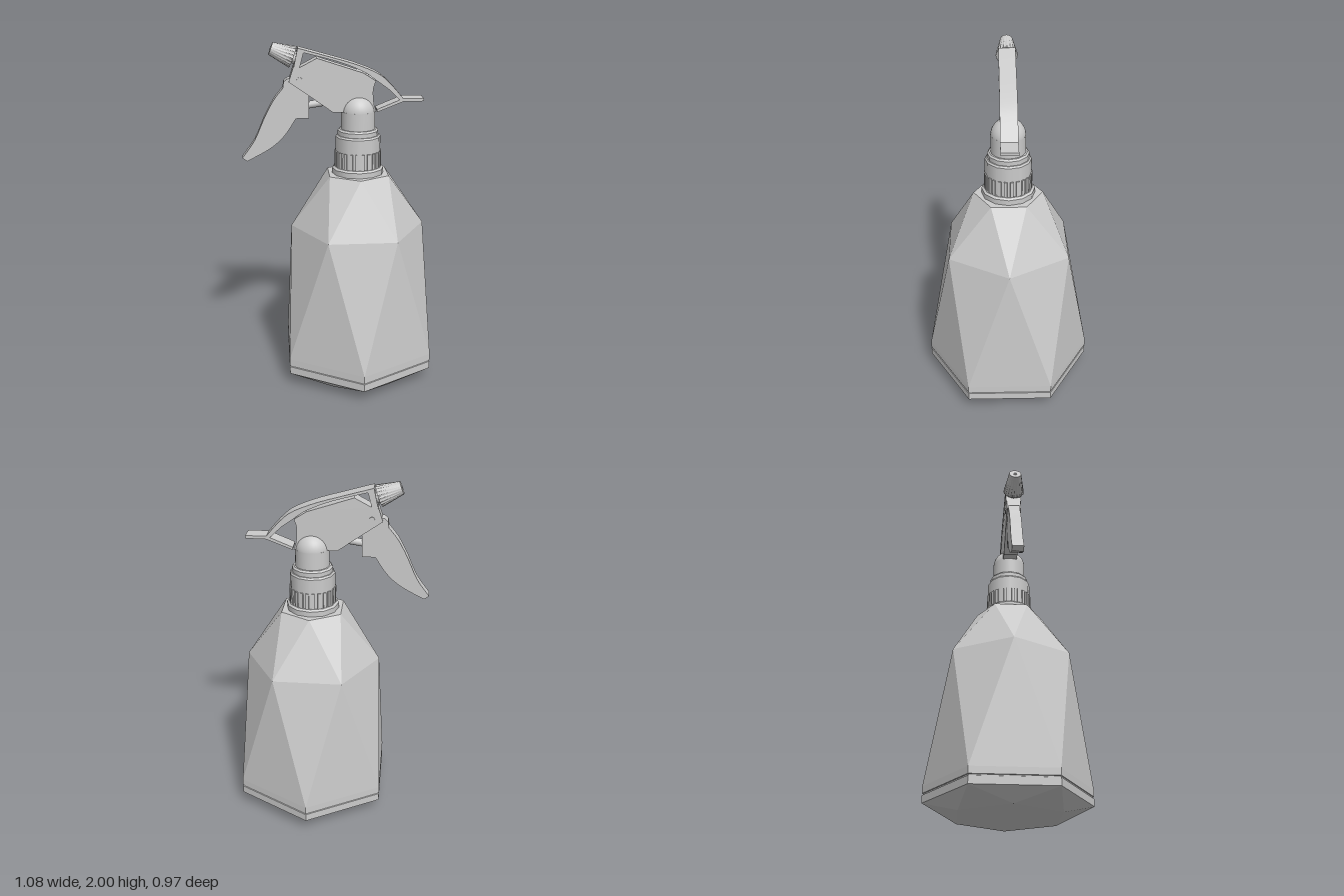
import * as THREE from 'three';
import { toCreasedNormals } from 'three/addons/utils/BufferGeometryUtils.js';

const AXIS = 0.12; // the bottle sits off-centre below the spray head
const grey = new THREE.MeshStandardMaterial({ color: 0xcccccc });
const faceted = new THREE.MeshStandardMaterial({ color: 0xcccccc, flatShading: true });

function add(parent, name, geometry, x = 0, y = 0, z = 0, material = grey) {
  const mesh = new THREE.Mesh(geometry, material);
  mesh.name = name;
  mesh.position.set(x, y, z);
  parent.add(mesh);
  return mesh;
}

// Side outline extruded symmetrically about z = 0
function plate(points, halfWidth) {
  const shape = new THREE.Shape(points.map(([x, y]) => new THREE.Vector2(x, y)));
  const geometry = new THREE.ExtrudeGeometry(shape, { depth: 2 * halfWidth, bevelEnabled: false });
  geometry.translate(0, 0, -halfWidth);
  return toCreasedNormals(geometry, 0.5);
}

// Smooth run of points through a few guide points
function curve(points, count = 16) {
  return new THREE.SplineCurve(points.map(([x, y]) => new THREE.Vector2(x, y)))
    .getPoints(count).map(p => [p.x, p.y]);
}

// Hexagonal rings [height, radius, turn in degrees] joined by triangles
function facetedHull(rings) {
  const corner = (ring, i) => {
    const a = THREE.MathUtils.degToRad(ring[2] + 60 * i);
    return [ring[1] * Math.cos(a), ring[0], ring[1] * Math.sin(a)];
  };
  const out = [];
  const low = rings[0], high = rings[rings.length - 1];
  for (let i = 0; i < 6; i++) {
    for (let k = 0; k + 1 < rings.length; k++) {
      const a = rings[k], b = rings[k + 1];
      out.push(...corner(a, i + 1), ...corner(a, i), ...corner(b, i));
      out.push(...corner(b, i), ...corner(b, i + 1), ...corner(a, i + 1));
    }
    out.push(0, low[0], 0, ...corner(low, i), ...corner(low, i + 1));
    out.push(0, high[0], 0, ...corner(high, i + 1), ...corner(high, i));
  }
  const geometry = new THREE.BufferGeometry();
  geometry.setAttribute('position', new THREE.Float32BufferAttribute(out, 3));
  geometry.computeVertexNormals();
  return geometry;
}

export function createModel() {
  const model = new THREE.Group();
  model.name = 'sprayBottle';

  // Bottle: twisted hexagons with a seam groove near the base
  add(model, 'bottle', facetedHull([
    [0, 0.33, 0], [0.075, 0.484, 30], [0.12, 0.484, 30], [0.122, 0.478, 30],
    [0.128, 0.478, 30], [0.13, 0.484, 30], [0.17, 0.484, 30],
    [0.93, 0.39, 60], [1.25, 0.195, 90],
  ]), AXIS, 0, 0, faceted);

  // Screw collar: stepped twelve-sided rings with grip ribs
  const collar = new THREE.Group();
  collar.name = 'collar';
  collar.position.x = AXIS;
  model.add(collar);
  const steps = [[1.245, 1.28, 0.15, 0.15], [1.28, 1.29, 0.15, 0.138], [1.29, 1.465, 0.13, 0.13],
    [1.465, 1.475, 0.13, 0.123], [1.475, 1.5, 0.117, 0.117], [1.5, 1.51, 0.117, 0.108]];
  for (const [y0, y1, r0, r1] of steps) {
    add(collar, 'collarRing', new THREE.CylinderGeometry(r1, r0, y1 - y0, 12), 0, (y0 + y1) / 2, 0);
  }
  for (let i = 0; i < 24; i++) {
    const a = (i + 0.5) * Math.PI / 12;
    const rib = add(collar, 'gripRib', new THREE.BoxGeometry(0.018, 0.095, 0.012),
      0.128 * Math.sin(a), 1.335, 0.128 * Math.cos(a));
    rib.rotation.y = a;
  }

  // Neck with domed top
  add(model, 'neck', new THREE.CylinderGeometry(0.097, 0.097, 0.11, 32), AXIS, 1.555, 0);
  add(model, 'neckDome', new THREE.SphereGeometry(0.097, 32, 12, 0, Math.PI * 2, 0, Math.PI / 2), AXIS, 1.605, 0);

  // Pump housing
  add(model, 'pumpHousing', plate([
    [-0.21, 1.865], [-0.115, 1.915], [0.145, 1.83],
    ...curve([[0.215, 1.785], [0.2, 1.735], [0.205, 1.655], [0.22, 1.61]], 10),
    [-0.025, 1.61], [-0.15, 1.7], [-0.272, 1.785], [-0.245, 1.868],
  ], 0.042));

  // Top shroud: arched strap, rear tab and brace
  add(model, 'topShroud', plate([
    ...curve([[-0.22, 1.972], [-0.07, 1.93], [0.1, 1.88], [0.23, 1.825], [0.305, 1.76], [0.37, 1.685]]),
    [0.487, 1.685], [0.487, 1.668], [0.37, 1.667], [0.225, 1.61], [0.222, 1.625], [0.35, 1.677],
    ...curve([[0.285, 1.74], [0.215, 1.79], [0.145, 1.838], [0.01, 1.893], [-0.188, 1.947]]),
    [-0.212, 1.858], [-0.245, 1.858],
  ], 0.047));

  // Trigger lever
  add(model, 'trigger', plate([
    [-0.257, 1.805], [-0.225, 1.75], [-0.16, 1.72], [-0.16, 1.577],
    ...curve([[-0.235, 1.577], [-0.3, 1.48], [-0.385, 1.405], [-0.515, 1.335]], 12),
    ...curve([[-0.542, 1.355], [-0.47, 1.455], [-0.415, 1.577], [-0.36, 1.68], [-0.305, 1.75]], 12),
    [-0.3, 1.785], [-0.28, 1.802],
  ], 0.034));

  // Pivot pin and piston rod
  const pin = add(model, 'pivotPin', new THREE.CylinderGeometry(0.015, 0.015, 0.096, 16), -0.212, 1.797, 0);
  pin.rotation.x = Math.PI / 2;
  const rod = add(model, 'pistonRod', new THREE.CylinderGeometry(0.021, 0.021, 0.2, 16), -0.1, 1.658, 0);
  rod.rotation.z = -1.42;

  // Fluted nozzle tilted up towards its tip
  const nozzle = new THREE.Group();
  nozzle.name = 'nozzle';
  nozzle.position.set(-0.307, 1.942, 0);
  nozzle.rotation.z = 1.196;
  model.add(nozzle);
  const knob = new THREE.CylinderGeometry(0.036, 0.063, 0.131, 40, 1);
  const p = knob.attributes.position;
  for (let i = 0; i < p.count; i++) {
    const step = Math.round(Math.atan2(p.getX(i), p.getZ(i)) / (Math.PI / 20));
    const s = p.getY(i) < 0 && step % 2 ? 0.93 : 1;
    p.setXYZ(i, p.getX(i) * s, p.getY(i), p.getZ(i) * s);
  }
  add(nozzle, 'nozzleKnob', toCreasedNormals(knob, 0.3));
  const lip = add(nozzle, 'nozzleOrifice', new THREE.TorusGeometry(0.009, 0.003, 8, 20), 0, 0.0655, 0);
  lip.rotation.x = Math.PI / 2;
  const stub = add(nozzle, 'nozzleStub', new THREE.CylinderGeometry(0.035, 0.035, 0.05, 20), 0, -0.07, 0);
  stub.scale.z = 1.1;

  return model;
}
